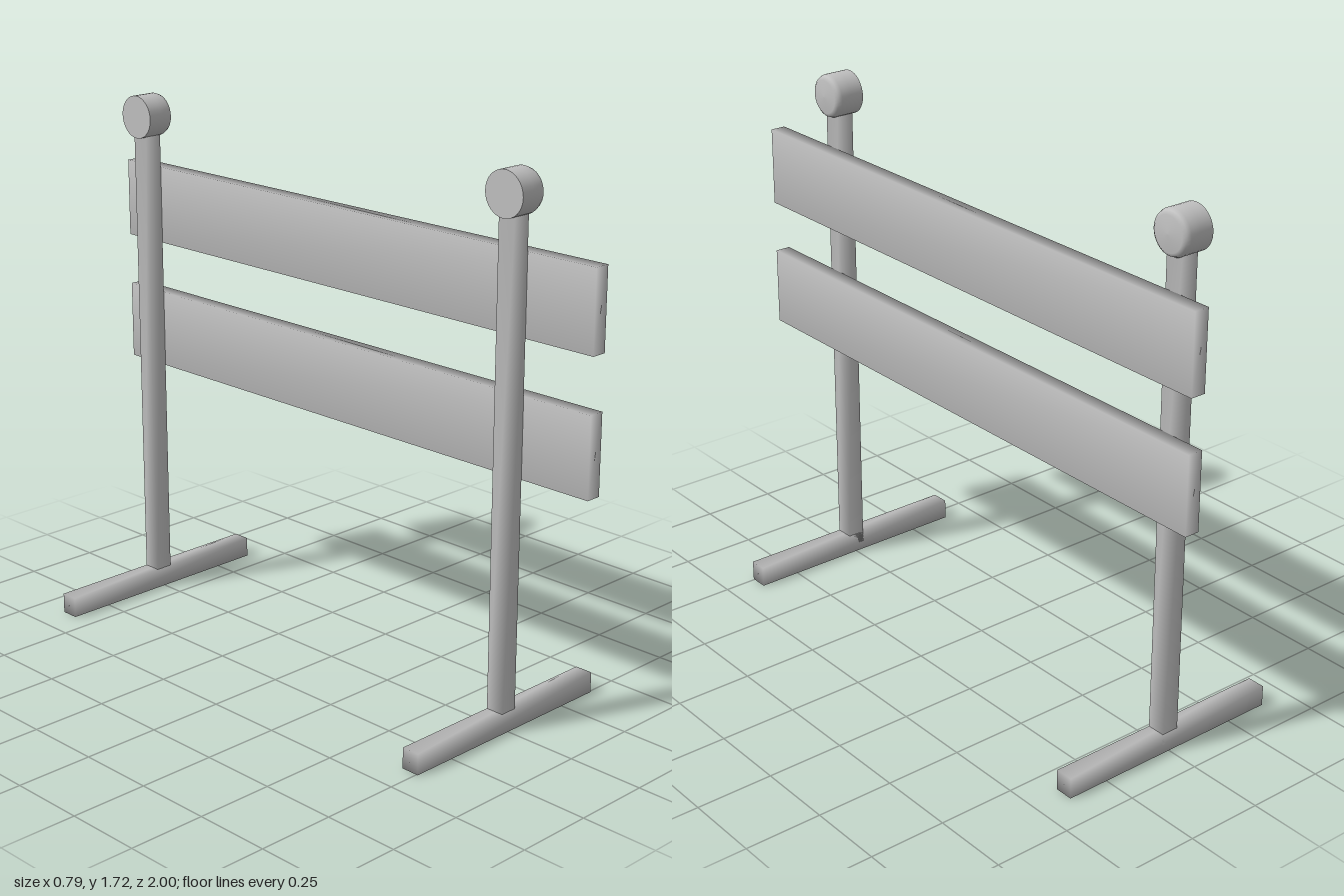
import * as THREE from 'three';
import { mergeVertices } from 'three/addons/utils/BufferGeometryUtils.js';

export function createModel() {
  const model = new THREE.Group();
  model.name = 'barricade';
  const grey = new THREE.MeshStandardMaterial({ color: 0xc0c0c0 });
  grey.name = 'light grey';

  // Box from min to max corner, with normals shared across its edges
  function softBox(name, min, max, parent) {
    const size = max.map((v, i) => v - min[i]);
    let geo = new THREE.BoxGeometry(...size);
    geo.deleteAttribute('normal');
    geo.deleteAttribute('uv');
    geo = mergeVertices(geo);
    geo.computeVertexNormals();
    const mesh = new THREE.Mesh(geo, grey);
    mesh.name = name;
    mesh.position.set(...max.map((v, i) => (v + min[i]) / 2));
    parent.add(mesh);
  }

  // Round warning lamp: flat back, rounded front edge, axis along x
  const lampProfile = [
    [0, -0.045], [0.07, -0.045], [0.07, -0.045], [0.07, 0],
    [0.07, 0.035], [0.065, 0.047], [0.054, 0.055], [0, 0.058],
  ].map(([r, h]) => new THREE.Vector2(r, h));
  const lampGeo = new THREE.LatheGeometry(lampProfile, 32);
  lampGeo.rotateZ(-Math.PI / 2);

  // Two stands, each with foot, post and lamp
  for (const [side, z] of [['front', 0.725], ['back', -0.86]]) {
    const stand = new THREE.Group();
    stand.name = side + 'Stand';
    stand.position.z = z;
    softBox('foot', [-0.395, 0, -0.03], [0.39, 0.067, 0.03], stand);
    softBox('post', [-0.03, 0.03, -0.03], [0.028, 1.6, 0.03], stand);
    const lamp = new THREE.Mesh(lampGeo, grey);
    lamp.name = 'lamp';
    lamp.position.y = 1.65;
    stand.add(lamp);
    model.add(stand);
  }

  // Two long boards across the stands
  softBox('upperBoard', [0.03, 1.223, -1], [0.08, 1.478, 1], model);
  softBox('lowerBoard', [0.03, 0.797, -1], [0.08, 1.052, 1], model);

  return model;
}
